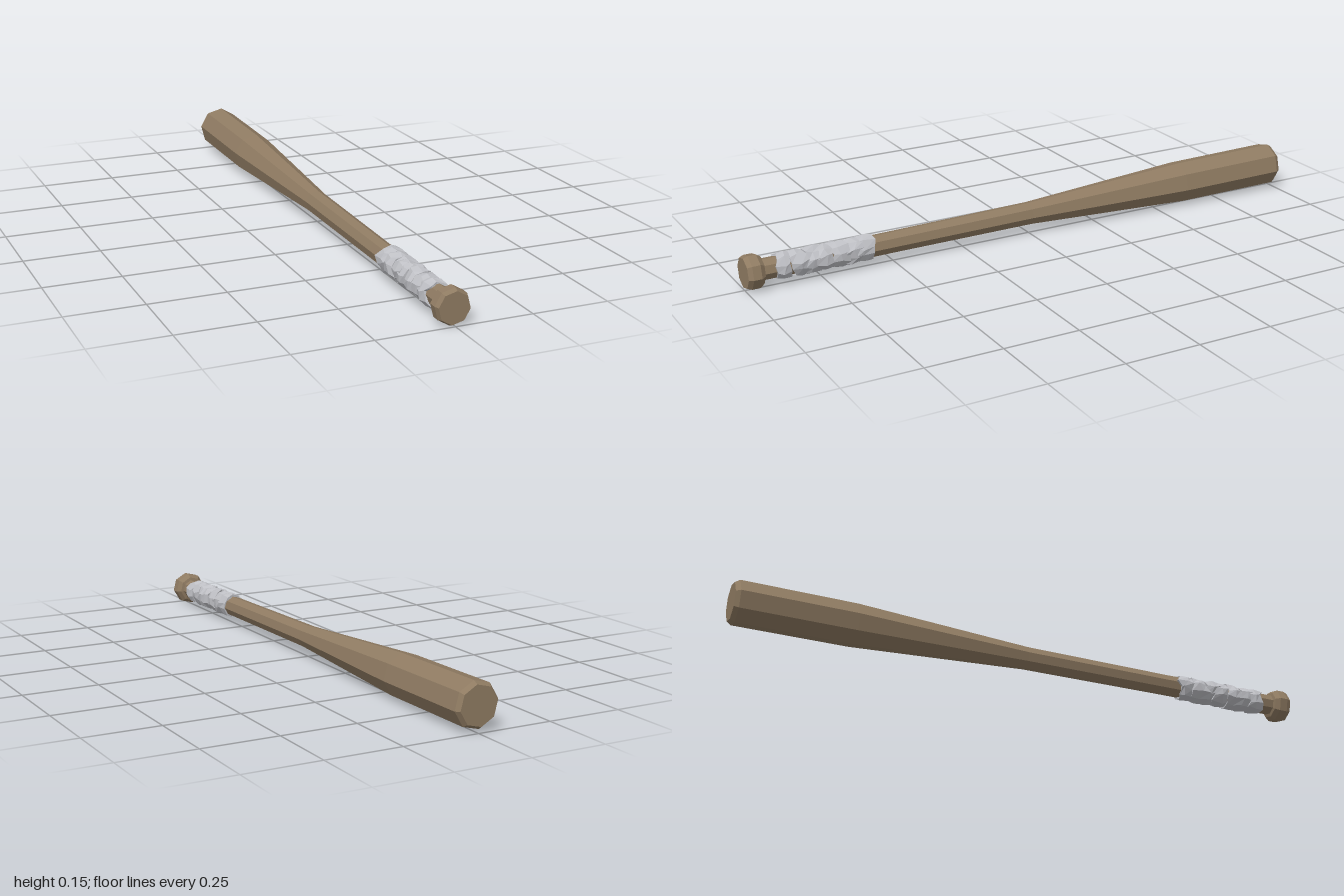
import * as THREE from 'three';

const wood = new THREE.MeshStandardMaterial({ color: 0x8f7b62 });
wood.name = 'wood brown';
const tapeGrey = new THREE.MeshStandardMaterial({ color: 0xbfc0c5 });
tapeGrey.name = 'tape grey';

const PHASE = THREE.MathUtils.degToRad(37);

// Small seeded generator for the crumpled tape
let seed = 11;
const rand = () => {
  seed = (seed * 16807) % 2147483647;
  return seed / 2147483647;
};

// The axis leans gently: the thin end rests lower than the barrel
const axisY = (z) => 0.069 - 0.0125 * z;
const axisX = (z) => -0.002 - 0.002 * z;

// Turns [radius, z] pairs around the leaning axis; optional rule moves vertices first
function turned(name, material, profile, sides, rule) {
  const points = profile.map(([r, z]) => new THREE.Vector2(r, z));
  const geo = new THREE.LatheGeometry(points, sides, PHASE);
  geo.rotateX(Math.PI / 2);
  const pos = geo.attributes.position;
  const v = new THREE.Vector3();
  for (let i = 0; i < pos.count; i++) {
    v.fromBufferAttribute(pos, i);
    const ring = i % profile.length;
    const side = Math.floor(i / profile.length) % sides;
    if (rule) rule(v, ring, side);
    pos.setXYZ(i, v.x + axisX(v.z), v.y + axisY(v.z), v.z);
  }
  const flat = geo.toNonIndexed();
  flat.computeVertexNormals();
  const mesh = new THREE.Mesh(flat, material);
  mesh.name = name;
  return mesh;
}

// One crumpled wrap of tape, tilted so neighbouring wraps overlap
function tapeWrap(index, z, width) {
  const sides = 10;
  const profile = [[0.034, z], [0.040, z], [0.043, z + width * 0.5],
    [0.040, z + width], [0.034, z + width]];
  const jitter = profile.map((_, ring) => Array.from({ length: sides }, () => {
    const outer = ring > 0 && ring < 4;
    return { r: outer ? 0.95 + rand() * 0.16 : 1, z: (rand() - 0.5) * 0.018, a: (rand() - 0.5) * 0.3 };
  }));
  // Both corners of an end edge share the same shift
  jitter[0].forEach((j, s) => { j.z = jitter[1][s].z; j.a = jitter[1][s].a; });
  jitter[4].forEach((j, s) => { j.z = jitter[3][s].z; j.a = jitter[3][s].a; });
  const lean = index * 2.1;
  return turned('tapeWrap' + (index + 1), tapeGrey, profile, sides, (v, ring, side) => {
    const j = jitter[ring][side];
    const r = Math.hypot(v.x, v.y) * j.r;
    const a = Math.atan2(v.y, v.x) + j.a;
    v.set(r * Math.cos(a), r * Math.sin(a), v.z + j.z + 0.008 * Math.cos(a + lean));
  });
}

export function createModel() {
  const bat = new THREE.Group();
  bat.name = 'bat';

  // Eight-sided shaft, from the chamfered barrel end to the handle
  bat.add(turned('barrelAndHandle', wood, [
    [0, -1], [0.064, -1], [0.074, -0.985], [0.0725, -0.6],
    [0.039, 0], [0.036, 0.5], [0.035, 0.95],
  ], 8));

  // Flared knob at the end of the handle
  bat.add(turned('knob', wood, [
    [0.034, 0.94], [0.046, 0.943], [0.057, 0.958], [0.057, 0.985], [0.051, 1], [0, 1],
  ], 8));

  // Wrapped grip
  const grip = new THREE.Group();
  grip.name = 'gripTape';
  const wraps = 7;
  for (let i = 0; i < wraps; i++) grip.add(tapeWrap(i, 0.572 + i * 0.0455, 0.054));
  bat.add(grip);

  return bat;
}
